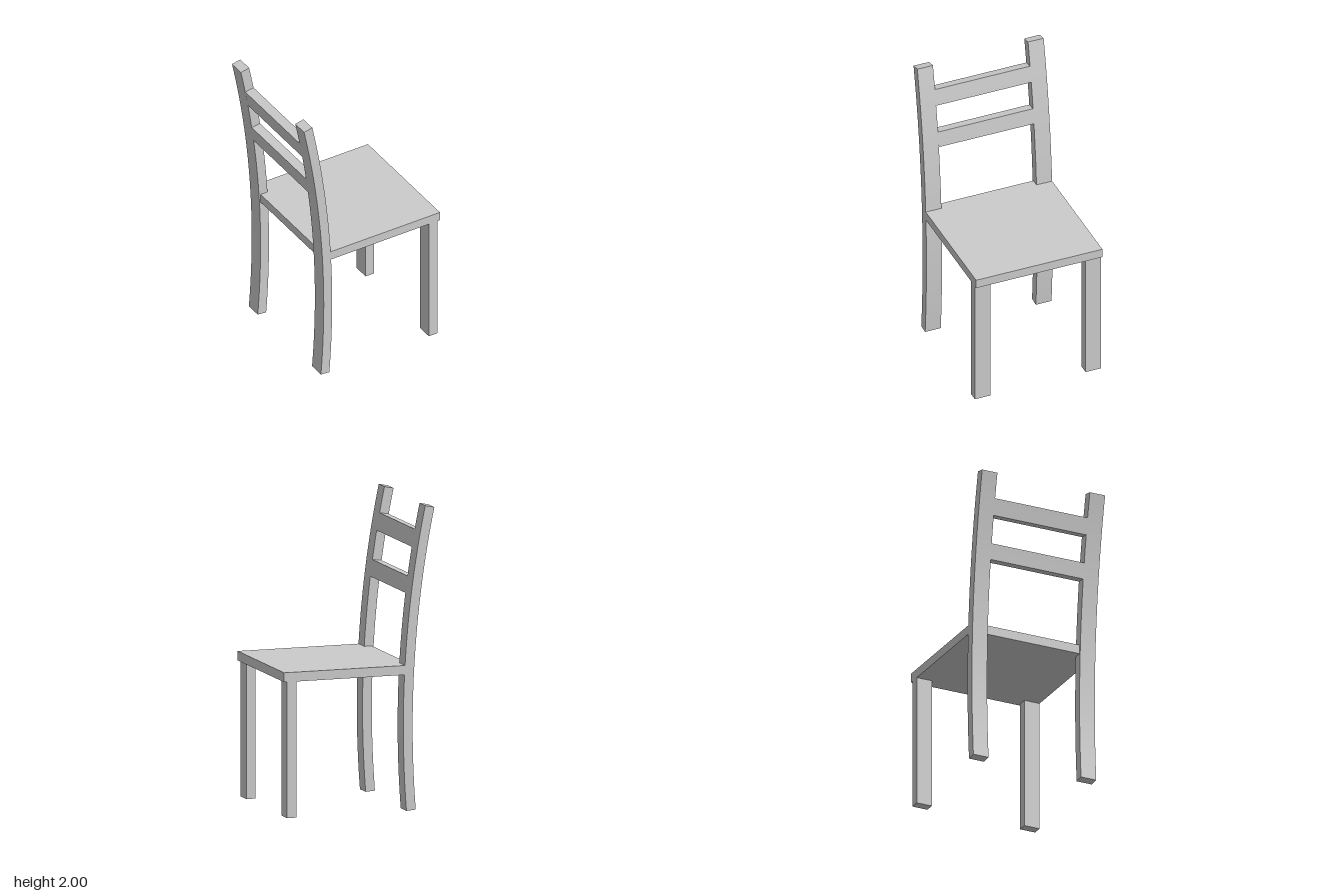
import * as THREE from 'three';
import { toCreasedNormals } from 'three/addons/utils/BufferGeometryUtils.js';

// The backrest follows one large arc seen from the side
const RADIUS = 7, HALF = 0.032, ARC_X = -0.338 - RADIUS, ARC_Y = 0.55;

export function createModel() {
  const chair = new THREE.Group();
  chair.name = 'chair';
  const material = new THREE.MeshStandardMaterial({ color: 0xcccccc });

  const add = (name, geometry) => {
    const mesh = new THREE.Mesh(geometry, material);
    mesh.name = name;
    chair.add(mesh);
  };

  const box = (name, x0, x1, y0, y1, z0, z1) => {
    const g = new THREE.BoxGeometry(x1 - x0, y1 - y0, z1 - z0);
    g.translate((x0 + x1) / 2, (y0 + y1) / 2, (z0 + z1) / 2);
    add(name, g);
  };

  // Curved bar between two heights on its front edge, cut square to the arc
  const curvedBar = (name, y0, y1, z0, z1, segments) => {
    const outer = RADIUS + HALF, inner = RADIUS - HALF;
    const a0 = Math.asin((y0 - ARC_Y) / outer);
    const a1 = Math.asin((y1 - ARC_Y) / outer);
    const shape = new THREE.Shape();
    shape.absarc(ARC_X, ARC_Y, outer, a0, a1, false);
    shape.absarc(ARC_X, ARC_Y, inner, a1, a0, true);
    const g = new THREE.ExtrudeGeometry(shape, {
      depth: z1 - z0, bevelEnabled: false, curveSegments: segments,
    });
    g.translate(0, 0, z0);
    add(name, toCreasedNormals(g, 0.5));
  };

  // Seat board, reaching back between the posts
  box('seat', -0.37, 0.515, 0.895, 0.957, -0.445, 0.445);

  // Straight front legs and curved back posts on both sides
  for (const [side, z0] of [['left', -0.445], ['right', 0.335]]) {
    box(side + 'FrontLeg', 0.43, 0.495, 0, 0.895, z0, z0 + 0.11);
    curvedBar(side + 'BackPost', 0, 2, z0, z0 + 0.11, 16);
  }

  // Backrest slats
  curvedBar('lowerSlat', 1.415, 1.525, -0.335, 0.335, 2);
  curvedBar('upperSlat', 1.715, 1.83, -0.335, 0.335, 2);

  return chair;
}
